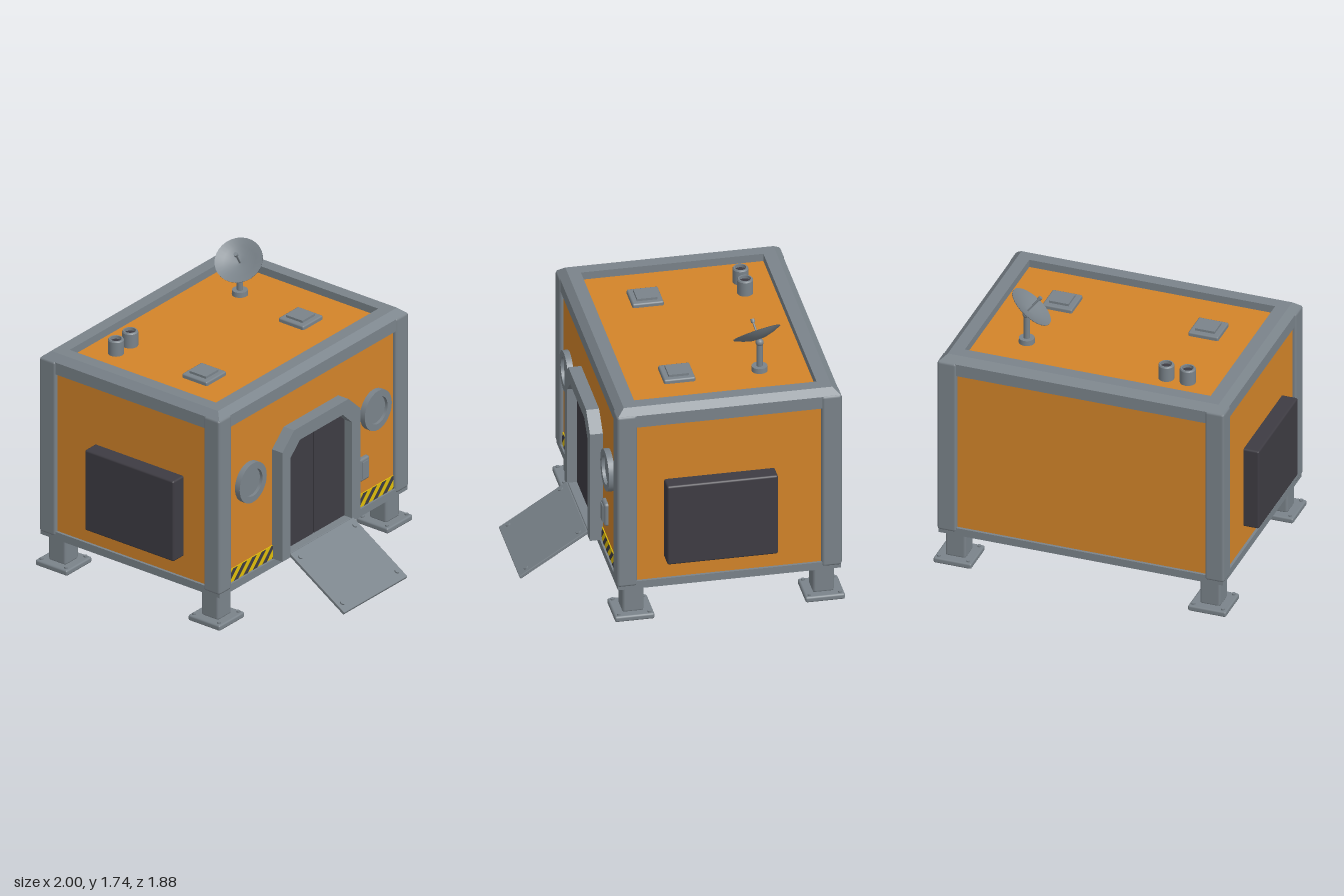
import * as THREE from 'three';
import { RoundedBoxGeometry } from 'three/addons/geometries/RoundedBoxGeometry.js';

const paint = (name, color) => {
  const m = new THREE.MeshStandardMaterial({ color });
  m.name = name;
  return m;
};

export function createModel() {
  const orange = paint('orange panel', 0xd38429);
  const grey = paint('grey metal', 0x7a838a);
  const dark = paint('dark metal', 0x3e3c43);
  const yellow = paint('hazard yellow', 0xe0bd08);
  const model = new THREE.Group();
  const ZC = -0.23; // middle of the cabin in z
  const WALL = 0.44; // front wall
  const ROOF = 1.4;

  const add = (name, geo, mat, x = 0, y = 0, z = 0, parent = model) => {
    const m = new THREE.Mesh(geo, mat);
    m.name = name;
    m.position.set(x, y, z);
    parent.add(m);
    return m;
  };
  // bevelled box given by its limits
  const block = (name, mat, x0, x1, y0, y1, z0, z1, r = 0.008, parent = model) =>
    add(name, new RoundedBoxGeometry(x1 - x0, y1 - y0, z1 - z0, 1, r), mat,
      (x0 + x1) / 2, (y0 + y1) / 2, (z0 + z1) / 2, parent);
  const cyl = (r0, r1, h, n = 20) => new THREE.CylinderGeometry(r0, r1, h, n);
  // turned part; every inner point is doubled so that the edges stay sharp
  const turned = (pts, n) => new THREE.LatheGeometry(
    pts.flatMap((p, i) => (i && i < pts.length - 1 ? [p, p] : [p])).map(p => new THREE.Vector2(...p)), n);
  const polygon = pts => new THREE.Shape(pts.map(p => new THREE.Vector2(p[0], p[1])));
  const plate = (pts, depth) => new THREE.ExtrudeGeometry(polygon(pts), { depth, bevelEnabled: false });
  // closed profile of (inset, y) swept round a rectangle with mitred corners
  const ring = (hx, hz, profile) => {
    const corners = [[1, 1], [1, -1], [-1, -1], [-1, 1]], pos = [];
    corners.forEach((a, i) => {
      const b = corners[(i + 1) % 4];
      profile.forEach((p, j) => {
        const q = profile[(j + 1) % profile.length];
        const at = (c, [d, y]) => [c[0] * (hx - d), y, c[1] * (hz - d)];
        const [A, B, C, D] = [at(a, p), at(a, q), at(b, q), at(b, p)];
        pos.push(...A, ...B, ...C, ...A, ...C, ...D);
      });
    });
    const g = new THREE.BufferGeometry();
    g.setAttribute('position', new THREE.Float32BufferAttribute(pos, 3));
    g.computeVertexNormals();
    return g;
  };

  // cabin shell and its frame
  add('cabinShell', new THREE.BoxGeometry(1.8, ROOF - 0.225, 1.34), orange, 0, (ROOF + 0.225) / 2, ZC);
  add('topFrame', ring(0.917, 0.688,
    [[0.045, 1.45], [0, 1.41], [0, 1.33], [0.125, 1.33], [0.125, 1.45]]), grey, 0, 0, ZC);
  add('bottomFrame', ring(0.917, 0.688,
    [[0, 0.26], [0, 0.21], [0.06, 0.21], [0.06, 0.26]]), grey, 0, 0, ZC);

  for (const sx of [-1, 1]) {
    for (const sz of [-1, 1]) {
      // corner post, leg and bolted foot
      add('cornerPost', new RoundedBoxGeometry(0.125, 1.185, 0.125, 1, 0.017), grey,
        sx * 0.8625, 0.8225, ZC + sz * 0.6325);
      const leg = new THREE.Group();
      leg.name = 'leg';
      leg.position.set(sx * 0.82, 0, ZC + sz * 0.588);
      model.add(leg);
      block('legColumn', grey, -0.067, 0.067, 0.03, 0.22, -0.067, 0.067, 0.017, leg);
      block('footPad', grey, -0.123, 0.123, 0, 0.038, -0.123, 0.123, 0.012, leg);
      for (const bx of [-1, 1]) for (const bz of [-1, 1])
        add('footBolt', cyl(0.012, 0.012, 0.012, 8), grey, bx * 0.095, 0.042, bz * 0.095, leg);
    }
    // equipment box on each side wall
    block('sideBox', dark, Math.min(sx * 0.87, sx), Math.max(sx * 0.87, sx), 0.397, 0.942, -0.515, 0.17, 0.012);

    // porthole with a recessed cover
    const port = add('porthole', turned(
      [[0.132, 0], [0.132, 0.04], [0.09, 0.04], [0.09, 0.02], [0, 0.02]], 32), grey, sx * 0.61, 0.878, WALL - 0.003);
    port.rotation.x = Math.PI / 2;

    // sliding door leaf
    add('doorLeaf', plate([[0.005, 0.26], [0.305, 0.26], [0.305, 0.94], [0.21, 1.03], [0.005, 1.03]]
      .map(([x, y]) => [sx * x, y]), 0.03), dark, 0, 0, 0.43);
  }

  // door surround and sill
  const outer = [[0.38, 0.26], [0.38, 1.0], [0.265, 1.108]];
  const inner = [[0.21, 1.022], [0.3, 0.935], [0.3, 0.26]];
  const flip = pts => pts.map(([x, y]) => [-x, y]).reverse();
  add('doorFrame', plate([...outer, ...flip(outer), ...flip(inner), ...inner], 0.09), grey, 0, 0, 0.43);
  block('doorSill', grey, -0.3, 0.3, 0.26, 0.285, 0.43, 0.515, 0.004);

  // boarding ramp with bolts
  const rampLength = Math.hypot(0.42, 0.27);
  const ramp = new THREE.Group();
  ramp.name = 'ramp';
  ramp.position.set(0, 0.146, 0.727);
  ramp.rotation.x = Math.atan2(0.27, 0.42);
  model.add(ramp);
  block('rampPlate', grey, -0.308, 0.308, -0.011, 0.011, -rampLength / 2, rampLength / 2, 0.005, ramp);
  for (const x of [-0.266, 0.266]) for (const z of [-0.198, 0.188])
    add('rampBolt', cyl(0.016, 0.016, 0.012, 10), grey, x, 0.014, z, ramp);

  // hazard strips: slanted dark bars clipped to a yellow plate
  const clip = (pts, limit, sign) => pts.flatMap((p, i) => {
    const q = pts[(i + 1) % pts.length];
    const a = sign * (p[0] - limit), b = sign * (q[0] - limit), out = a >= 0 ? [p] : [];
    if (a * b < 0) {
      const t = a / (a - b);
      out.push([p[0] + t * (q[0] - p[0]), p[1] + t * (q[1] - p[1])]);
    }
    return out;
  });
  for (const x0 of [-0.795, 0.38]) {
    const x1 = x0 + 0.415, y0 = 0.262, y1 = 0.35;
    add('hazardPlate', new THREE.BoxGeometry(x1 - x0, y1 - y0, 0.006), yellow, (x0 + x1) / 2, (y0 + y1) / 2, WALL + 0.003);
    for (let a = x0 - 0.06; a < x1; a += 0.092) {
      const bar = clip(clip([[a, y0], [a + 0.044, y0], [a + 0.132, y1], [a + 0.088, y1]], x0, 1), x1, -1);
      if (bar.length > 2) add('hazardBar', new THREE.ShapeGeometry(polygon(bar)), dark, 0, 0, WALL + 0.008);
    }
  }

  // door control panel
  block('controlPanel', grey, 0.448, 0.546, 0.443, 0.598, 0.41, 0.466, 0.016);
  add('controlCover', new THREE.BoxGeometry(0.056, 0.112, 0.02), grey, 0.497, 0.52, 0.462);

  // roof hatches
  for (const x of [-0.485, 0.457]) {
    block('hatchBase', grey, x - 0.097, x + 0.097, ROOF - 0.02, ROOF + 0.026, -0.097, 0.097, 0.01);
    add('hatchLid', new THREE.BoxGeometry(0.125, 0.03, 0.125), grey, x, ROOF + 0.026, 0);
  }

  // roof vents, hollow at the top
  for (const x of [-0.576, -0.438]) {
    add('ventPipe', turned([[0.049, ROOF - 0.01], [0.049, 1.492], [0.044, 1.5], [0.035, 1.5], [0.035, 1.46]], 20),
      grey, x, 0, -0.607);
    add('ventCore', cyl(0.036, 0.036, 0.01), dark, x, 1.475, -0.607);
  }

  // dish antenna
  add('dishBase', cyl(0.048, 0.05, 0.035), grey, 0.5, ROOF + 0.015, -0.502);
  add('dishMast', cyl(0.02, 0.02, 0.2, 12), grey, 0.5, 1.5, -0.502);
  add('dishJoint', new THREE.SphereGeometry(0.025, 14, 10), grey, 0.502, 1.595, -0.502);
  const dish = new THREE.Group();
  dish.name = 'dish';
  dish.position.set(0.496, 1.617, -0.498);
  dish.quaternion.setFromUnitVectors(new THREE.Vector3(0, 1, 0), new THREE.Vector3(-0.6, 0.775, 0.2).normalize());
  model.add(dish);
  const bowl = [[0, -0.006], [0.05, 0], [0.1, 0.014], [0.15, 0.035], [0.15, 0.039], [0.1, 0.02], [0.05, 0.007], [0, 0.001]];
  add('dishBowl', new THREE.LatheGeometry(bowl.map(p => new THREE.Vector2(...p)), 28), grey, 0, 0, 0, dish);
  add('dishFeed', cyl(0.006, 0.006, 0.115, 8), grey, 0, 0.057, 0, dish);
  add('dishFeedTip', cyl(0.013, 0.013, 0.022, 10), grey, 0, 0.115, 0, dish);

  return model;
}
